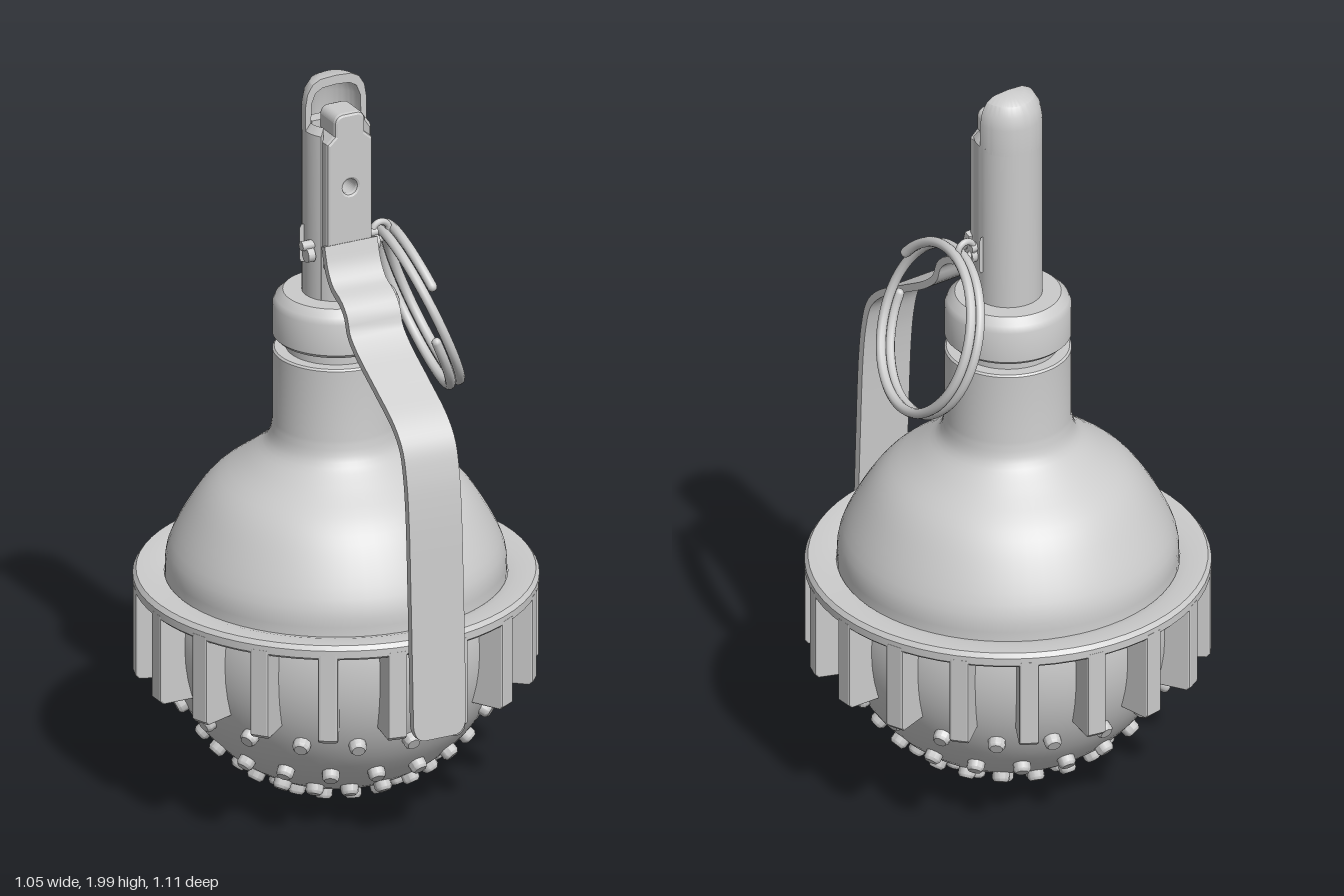
import * as THREE from 'three';
import { toCreasedNormals } from 'three/addons/utils/BufferGeometryUtils.js';

const V2 = (pts) => pts.map(([x, y]) => new THREE.Vector2(x, y));

export function createModel() {
  const root = new THREE.Group();
  const axis = new THREE.Group(); // everything turned about the body axis
  axis.name = 'body';
  axis.position.z = -0.024;
  root.add(axis);
  const mat = new THREE.MeshStandardMaterial({ color: 0xcccccc, side: THREE.DoubleSide });

  const add = (name, geo, parent = axis) => {
    const m = new THREE.Mesh(geo, mat);
    m.name = name;
    parent.add(m);
    return m;
  };
  const lathe = (pts, seg = 64, start = 0, len = Math.PI * 2) =>
    toCreasedNormals(new THREE.LatheGeometry(V2(pts), seg, start, len), 0.55);
  // Thin partial shell of revolution with its cut faces closed
  const shell = (name, loop, start) => {
    const g = new THREE.Group();
    g.name = name;
    axis.add(g);
    add(name + 'Wall', lathe([...loop, loop[0]], 36, start, 2 * (Math.PI - start)), g);
    for (const phi of [start, -start]) {
      const edge = new THREE.ShapeGeometry(new THREE.Shape(V2(loop)));
      add(name + 'Edge', edge.rotateY(phi - Math.PI / 2), g);
    }
  };

  // Round shell: spherical bottom, shoulder and neck
  const CY = 0.487, R = 0.457;
  const profile = [];
  for (let i = 0; i <= 20; i++) {
    const a = (i / 20) * Math.PI * 0.58;
    profile.push([R * Math.sin(a), CY - R * Math.cos(a)]);
  }
  const shoulder = new THREE.SplineCurve(V2([[0.443, 0.6], [0.437, 0.68], [0.385, 0.785],
    [0.325, 0.865], [0.235, 0.935], [0.18, 0.985], [0.165, 1.04]]));
  const upper = shoulder.getPoints(24).filter((p) => p.y > 0.62).map((p) => [p.x, p.y]);
  add('shell', lathe([...profile, ...upper, [0.165, 1.235], [0.16, 1.24], [0.13, 1.24], [0.13, 1.275]]));
  add('collar', lathe([[0.12, 1.27], [0.155, 1.27], [0.165, 1.28], [0.165, 1.365], [0.158, 1.382],
    [0.138, 1.4], [0, 1.4]]));

  // Rim and the fins hanging under it
  add('rim', lathe([[0.44, 0.575], [0.52, 0.575], [0.527, 0.582], [0.527, 0.603], [0.518, 0.615],
    [0.47, 0.615], [0.445, 0.608]]));
  const finShape = new THREE.Shape(V2([[0.4, 0.345], [0.515, 0.345], [0.522, 0.352], [0.522, 0.585], [0.4, 0.585]]));
  const finGeo = new THREE.ExtrudeGeometry(finShape, {
    depth: 0.04, bevelThickness: 0.006, bevelSize: 0.005, bevelSegments: 2 }).translate(0, 0, -0.02);
  for (let i = 0; i < 18; i++) add('fin', finGeo).rotation.y = (i * Math.PI) / 9;

  // Rings of studs over the lower half
  const studGeo = toCreasedNormals(new THREE.LatheGeometry(
    V2([[0.024, -0.03], [0.023, 0.022], [0.017, 0.03], [0, 0.03]]), 10), 0.8);
  const up = new THREE.Vector3(0, 1, 0);
  [[64.5, 18, 0], [48, 18, 0.5], [34, 18, 0], [21.5, 14, 0.5], [8.5, 6, 0]].forEach(([deg, n, shift]) => {
    const t = THREE.MathUtils.degToRad(deg);
    for (let i = 0; i < n; i++) {
      const p = ((i + shift) / n) * Math.PI * 2;
      const d = new THREE.Vector3(Math.sin(t) * Math.sin(p), -Math.cos(t), Math.sin(t) * Math.cos(p));
      const stud = add('stud', studGeo);
      stud.position.copy(d).multiplyScalar(R - 0.006).y += CY;
      stud.quaternion.setFromUnitVectors(up, d);
    }
  });

  // Fuse tube: wraps most of the way round below, half open under its domed cap
  shell('fuseTube', [[0.089, 1.39], [0.089, 1.86], [0.074, 1.88], [0.074, 1.39]], 0.93);
  shell('fuseCap', [[0.089, 1.85], [0.089, 1.925], [0.083, 1.96], [0.068, 1.985], [0.045, 1.997], [0, 2],
    [0, 1.975], [0.04, 1.972], [0.06, 1.96], [0.072, 1.93], [0.073, 1.85]], Math.PI / 2);
  add('fuseBase', lathe([[0.087, 1.39], [0.087, 1.54], [0, 1.56]], 36));

  // Striker block with its cross hole
  const s = new THREE.Shape();
  s.moveTo(-0.058, 1.5);
  s.lineTo(0.058, 1.5);
  s.lineTo(0.058, 1.84);
  s.lineTo(0.036, 1.86);
  s.lineTo(0.036, 1.9);
  s.quadraticCurveTo(0.034, 1.915, 0.018, 1.915);
  s.lineTo(-0.018, 1.915);
  s.quadraticCurveTo(-0.034, 1.915, -0.036, 1.9);
  s.lineTo(-0.036, 1.86);
  s.lineTo(-0.058, 1.84);
  s.holes.push(new THREE.Path().absarc(0, 1.715, 0.028, 0, Math.PI * 2, true));
  add('striker', new THREE.ExtrudeGeometry(s, {
    depth: 0.07, bevelThickness: 0.01, bevelSize: 0.008, bevelSegments: 2, curveSegments: 16 }));
  add('strikerBack', new THREE.BoxGeometry(0.13, 0.38, 0.04).translate(0, 1.69, -0.03));

  // Front clip gripping the tube, with side rivets
  shell('leverClip', [[0.098, 1.49], [0.101, 1.5], [0.101, 1.585], [0.096, 1.595], [0.086, 1.595], [0.086, 1.49]].map(
    ([x, y]) => [x, y]), 1.45 + Math.PI);
  for (const side of [-1, 1]) {
    add('clipRivet', new THREE.CylinderGeometry(0.02, 0.02, 0.02, 14).rotateZ(Math.PI / 2)
      .translate(side * 0.095, 1.525, 0.03));
  }

  // Lever: a bent strip swept along its side profile, rounded at the free end
  const path = new THREE.CatmullRomCurve3([[0.05, 1.56], [0.07, 1.5], [0.1, 1.46], [0.15, 1.435], [0.178, 1.405],
    [0.192, 1.365], [0.235, 1.325], [0.34, 1.262], [0.44, 1.2], [0.484, 1.15], [0.505, 1.08], [0.518, 0.98],
    [0.53, 0.75], [0.538, 0.55], [0.545, 0.353]].map(([z, y]) => new THREE.Vector3(0, y, z)), false, 'centripetal');
  const N = 80, pos = [], idx = [], H = 0.01;
  for (let i = 0; i <= N; i++) {
    const t = i < N - 8 ? (i / (N - 8)) * 0.965 : 0.965 + ((i - N + 8) / 8) * 0.035;
    const p = path.getPointAt(t), d = path.getTangentAt(t);
    const e = Math.max(0, (t - 0.965) / 0.035);
    const w = 0.077 - 0.03 * (1 - Math.sqrt(Math.max(0, 1 - e * e)));
    for (const [x, k] of [[-w, -1], [w, -1], [w, 1], [-w, 1]]) {
      pos.push(x, p.y + d.z * H * k, p.z - d.y * H * k);
    }
    if (i < N) {
      for (let j = 0; j < 4; j++) {
        const a = i * 4 + j, b = i * 4 + ((j + 1) % 4);
        idx.push(a, b, a + 4, b, b + 4, a + 4);
      }
    }
  }
  const last = N * 4;
  idx.push(0, 2, 1, 0, 3, 2, last, last + 1, last + 2, last, last + 2, last + 3);
  const strip = new THREE.BufferGeometry();
  strip.setAttribute('position', new THREE.Float32BufferAttribute(pos, 3));
  strip.setIndex(idx);
  add('lever', toCreasedNormals(strip, 0.6), root);

  // Safety pin through the fuse, ending in an eye
  add('safetyPin', new THREE.CylinderGeometry(0.013, 0.013, 0.22, 12).rotateZ(Math.PI / 2)
    .translate(-0.005, 1.55, 0), root);
  add('pinEye', new THREE.TorusGeometry(0.024, 0.009, 10, 24).translate(0.118, 1.55, 0), root);

  // Split pull ring: nearly two coils of wire
  const u = new THREE.Vector3(-0.17, 0, 0.98).normalize();
  const v = new THREE.Vector3(-0.36, 0.93, -0.06).normalize();
  const n = new THREE.Vector3().crossVectors(u, v).normalize();
  const coil = [];
  for (let i = 0; i <= 90; i++) {
    const f = i / 90, a = 0.6 + f * Math.PI * 3.8;
    coil.push(new THREE.Vector3(0.212, 1.334, 0.03)
      .addScaledVector(u, 0.223 * Math.cos(a))
      .addScaledVector(v, 0.223 * Math.sin(a))
      .addScaledVector(n, (f - 0.5) * 0.052));
  }
  const wire = new THREE.CatmullRomCurve3(coil);
  add('pullRing', new THREE.TubeGeometry(wire, 180, 0.0135, 10), root);
  for (const end of [coil[0], coil[90]]) {
    add('ringWireEnd', new THREE.SphereGeometry(0.0135, 10, 8), root).position.copy(end);
  }
  return root;
}
